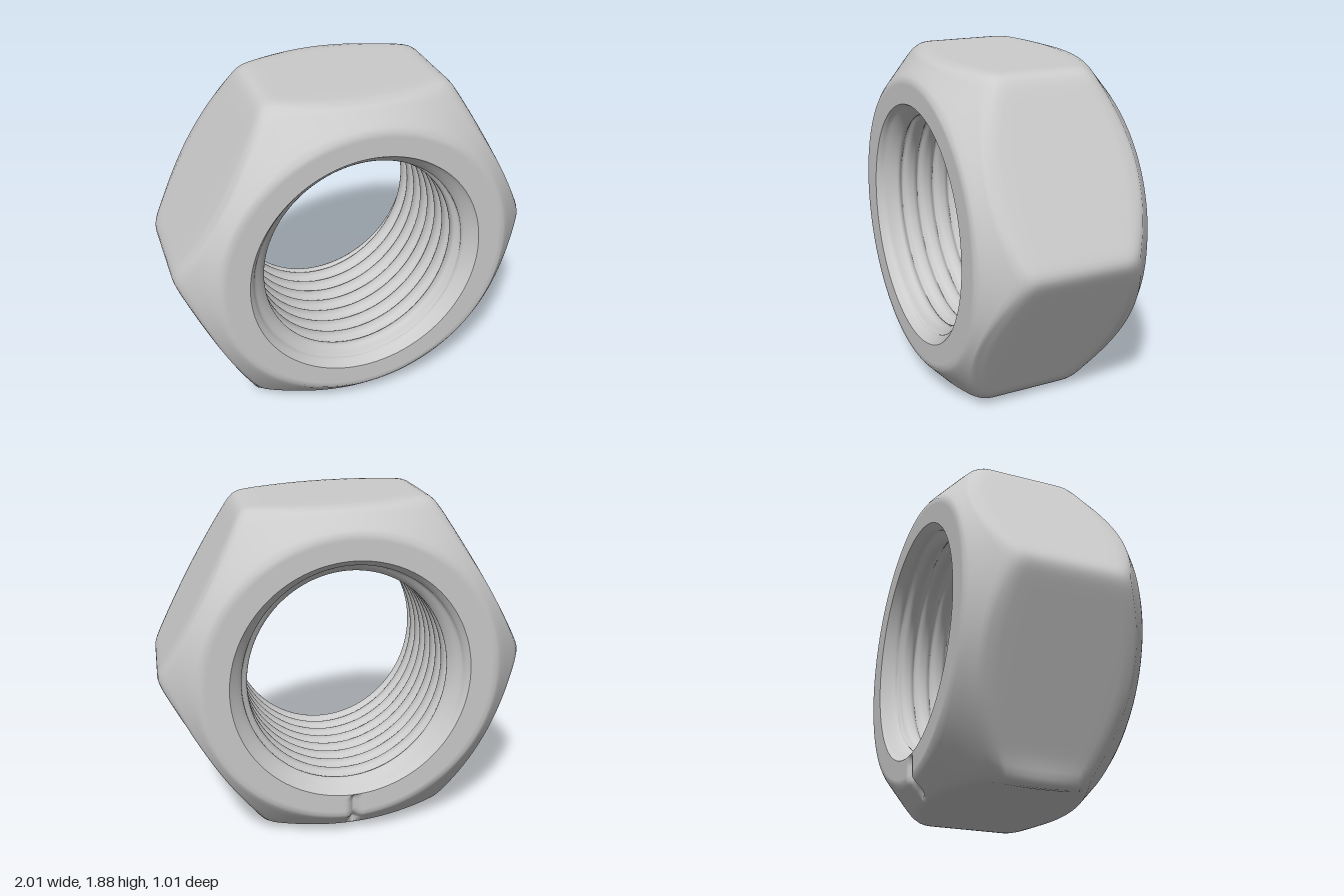
import * as THREE from 'three';

const SEG = 256;         // steps around the axis
const CY = 0.94;         // height of the axis
const H = 0.49;          // half thickness
const FACE = 0.81;       // radius of the flat washer face
const RIM = 0.67;        // radius where the bore opens

// Slightly uneven hexagon, corners relative to the axis, counter-clockwise
const corners = [[1.02, 0.03], [0.53, 0.91], [-0.47, 0.935], [-1.02, 0.04], [-0.59, -0.92], [0.46, -0.925]];
const edges = corners.map(([x, y], i) => {
  const [u, v] = corners[(i + 1) % 6];
  const len = Math.hypot(u - x, v - y);
  const nx = (v - y) / len, ny = (x - u) / len;
  return { nx, ny, d: nx * x + ny * y };
});

const bell = (v, w) => Math.exp(-(v * v) / (w * w));

// Hexagon radius at an angle, with softened corners
function hexRadius(a) {
  const p = 45;
  let sum = 0;
  for (const e of edges) {
    sum += Math.max(0, (Math.cos(a) * e.nx + Math.sin(a) * e.ny) / e.d) ** p;
  }
  return sum ** (-1 / p);
}

// Sweep a profile [radius, z, xScale] around the axis; the profile may vary with angle
function sweep(name, profileAt, material) {
  const pos = [], index = [];
  let n = 0;
  for (let i = 0; i < SEG; i++) {
    const a = (i / SEG) * Math.PI * 2;
    const profile = profileAt(a);
    n = profile.length;
    for (const [r, z, sx = 1] of profile) {
      const x = r * Math.cos(a) * sx, y = r * Math.sin(a);
      // the end faces lean very slightly
      pos.push(x, y + CY, z - 0.014 * x - 0.012 * y);
    }
    const next = (i + 1) % SEG;
    for (let j = 0; j < n - 1; j++) {
      const p = i * n + j, q = next * n + j;
      index.push(p, p + 1, q, q, p + 1, q + 1);
    }
  }
  const g = new THREE.BufferGeometry();
  g.setAttribute('position', new THREE.Float32BufferAttribute(pos, 3));
  g.setIndex(index);
  g.computeVertexNormals();
  const mesh = new THREE.Mesh(g, material);
  mesh.name = name;
  return mesh;
}

// Outside: front face, chamfer, flats, chamfer, back face
function bodyProfile(a) {
  const R = hexRadius(a);
  const zc = H - (R - FACE) * 0.95;
  const half = [];
  for (let k = 0; k <= 5; k++) {
    const r = RIM + (FACE - 0.01 - RIM) * k / 5;
    half.push([r, H, 0.97 + 0.03 * k / 5]);
  }
  for (const t of [0.1, 0.3, 0.5, 0.7, 0.86]) {
    half.push([FACE + (R - FACE) * t, H - 0.003 + (zc - H) * t]);
  }
  half.push([R - 0.01, zc - 0.012], [R - 0.003, zc - 0.04], [R, zc - 0.075]);
  for (const t of [0.75, 0.5, 0.25]) half.push([R, (zc - 0.075) * t]);
  const back = half.map(([r, z, s]) => [r, -z, s]).reverse();
  const profile = [...half, [R, 0], ...back];

  // small raised burr along the lower corner
  const burr = 0.035 * bell(a - Math.atan2(-0.92, -0.56) - Math.PI * 2, 0.06);
  // narrow nick across the bottom of the back face
  const nick = Math.sin(a) < 0 ? bell(Math.cos(a) * 0.78 + 0.02, 0.022) : 0;
  for (const p of profile) {
    if (p[0] > R - 0.005) p[0] += burr * bell(p[1], 0.27);
    if (p[1] < -0.4 && p[0] > RIM + 0.02 && p[0] < 0.88) p[1] += 0.045 * nick;
  }
  return profile;
}

// Inside: helical thread with a countersink at both ends
function boreProfile(a) {
  const steps = 110, pitch = 0.1, profile = [];
  for (let k = 0; k <= steps; k++) {
    const z = -H + (2 * H * k) / steps;
    const f = z / pitch + a / (Math.PI * 2);
    const tooth = Math.abs((f - Math.floor(f)) * 2 - 1);
    const end = Math.max(0, (Math.abs(z) - 0.38) / (H - 0.38));
    const fade = 1 - end;
    const thread = 0.59 + 0.032 * tooth ** 3 * fade;
    const r = thread + (RIM - 0.59) * end ** 1.2;
    profile.push([r, z, 0.925 + 0.045 * end]);
  }
  return profile;
}

export function createModel() {
  const group = new THREE.Group();
  group.name = 'hexNut';
  const material = new THREE.MeshStandardMaterial({ color: 0xcccccc });
  group.add(sweep('hexBody', bodyProfile, material));
  group.add(sweep('threadedBore', boreProfile, material));
  return group;
}
